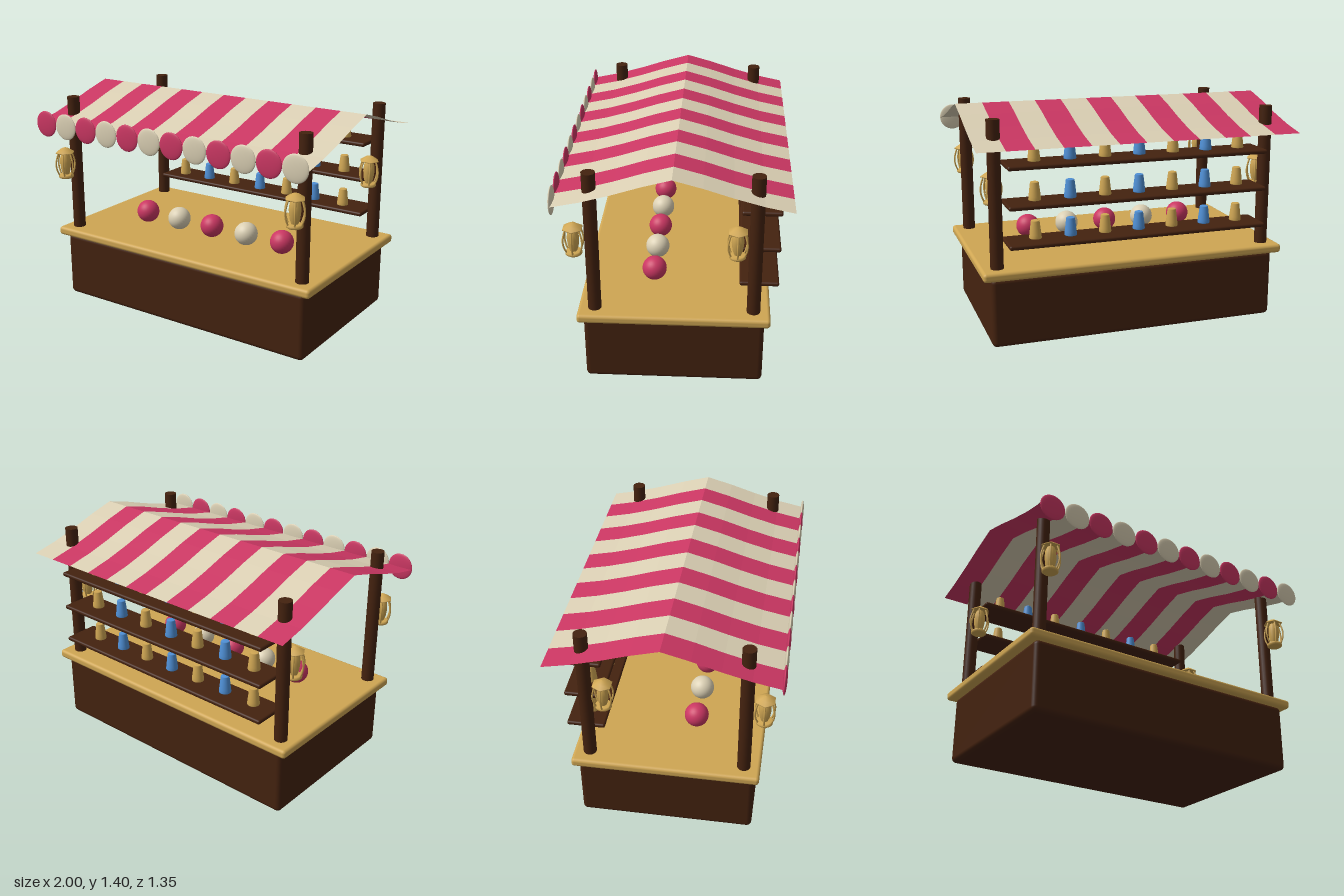
import * as THREE from 'three';
import { RoundedBoxGeometry } from 'three/addons/geometries/RoundedBoxGeometry.js';
import { mergeGeometries } from 'three/addons/utils/BufferGeometryUtils.js';

const MID = -0.008; // z of the ridge and of the stall's centre line

function material(name, color, side = THREE.FrontSide) {
  const m = new THREE.MeshStandardMaterial({ color, side });
  m.name = name;
  return m;
}

export function createModel() {
  const wood = material('dark wood', 0x44220f);
  const gold = material('gold', 0xcfa653);
  const pink = material('pink', 0xcb3763, THREE.DoubleSide);
  const cream = material('cream', 0xdbd0b4, THREE.DoubleSide);
  const blue = material('blue', 0x4f90d6);

  const model = new THREE.Group();
  model.name = 'fairgroundStall';

  function add(name, geometry, mat, x, y, z, parent = model) {
    const mesh = new THREE.Mesh(geometry, mat);
    mesh.name = name;
    mesh.position.set(x, y, z);
    parent.add(mesh);
    return mesh;
  }
  const lathe = (points, segments, start = 0) =>
    new THREE.LatheGeometry(points.map(([r, y]) => new THREE.Vector2(r, y)), segments, start);

  // Base and counter
  add('base', new RoundedBoxGeometry(1.83, 0.43, 1.068, 3, 0.03), wood, 0, 0.218, MID);
  add('counter', new RoundedBoxGeometry(1.93, 0.056, 1.135, 3, 0.02), gold, 0, 0.454, MID);

  // Lantern: glass body, base, hexagonal cap and six bowed ribs
  const body = lathe([[0.02, 0.87], [0.03, 0.9], [0.036, 0.95], [0.032, 0.99], [0.02, 1.02]], 16);
  const foot = lathe([[0, 0.847], [0.042, 0.847], [0.049, 0.853], [0.049, 0.864],
    [0.042, 0.871], [0, 0.871]], 20);
  const cap = lathe([[0, 1.014], [0.062, 1.014], [0.062, 1.019], [0.035, 1.037],
    [0.018, 1.047], [0, 1.051]], 6, Math.PI / 2);
  const ribPath = new THREE.CatmullRomCurve3([[0.043, 0.865], [0.059, 0.905], [0.063, 0.945],
    [0.055, 0.985], [0.043, 1.018]].map(([r, y]) => new THREE.Vector3(r, y, 0)));
  const ribs = [];
  for (let i = 0; i < 6; i++) {
    ribs.push(new THREE.TubeGeometry(ribPath, 12, 0.0055, 6).rotateY(i * Math.PI / 3));
  }
  const cage = mergeGeometries(ribs);

  // Posts, each with a lantern hung in front
  const post = new THREE.CylinderGeometry(0.04, 0.04, 0.91, 20);
  for (const x of [-0.865, 0.865]) {
    for (const z of [MID + 0.468, MID - 0.468]) {
      add('post', post, wood, x, 0.915, z);
      const lantern = new THREE.Group();
      lantern.name = 'lantern';
      lantern.position.set(x, 0, z + 0.104);
      model.add(lantern);
      add('lanternBody', body, gold, 0, 0, 0, lantern);
      add('lanternFoot', foot, gold, 0, 0, 0, lantern);
      add('lanternCap', cap, gold, 0, 0, 0, lantern);
      add('lanternRibs', cage, gold, 0, 0, 0, lantern);
    }
  }

  // Shelves with rows of cups
  const shelf = new RoundedBoxGeometry(1.63, 0.027, 0.232, 3, 0.012);
  const cup = lathe([[0, 0], [0.036, 0], [0.038, 0.004], [0.036, 0.025], [0.026, 0.106],
    [0.023, 0.11], [0, 0.11]], 20);
  for (const y of [0.637, 0.87, 1.104]) {
    add('shelf', shelf, wood, 0, y, -0.506);
    for (let i = 0; i < 7; i++) {
      add('cup', cup, i % 2 ? blue : gold, -0.67 + i * 0.217, y + 0.013, -0.49);
    }
  }

  // Balls on the counter
  const ball = new THREE.SphereGeometry(0.075, 32, 20);
  for (let i = 0; i < 5; i++) {
    add('ball', ball, i % 2 ? cream : pink, (i - 2) * 0.266, 0.555, 0.13);
  }

  // Canopy: twelve thin striped strips that sag from the ridge to the eaves
  const heights = [1.4, 1.354, 1.3, 1.253, 1.218];
  const stripe = new THREE.PlaneGeometry(1 / 6, 1.336, 1, 8).rotateX(-Math.PI / 2);
  const pos = stripe.attributes.position;
  for (let i = 0; i < pos.count; i++) {
    pos.setY(i, heights[Math.round(Math.abs(pos.getZ(i)) / 0.167)]);
  }
  const panel = stripe.toNonIndexed();
  panel.computeVertexNormals();

  // Round scallops along the front eave
  const scallop = new THREE.SphereGeometry(0.0833, 28, 16).scale(1, 1, 0.15);
  for (let i = 0; i < 12; i++) {
    const x = -1 + (i + 0.5) / 6;
    const mat = i % 2 ? cream : pink;
    add('canopyStripe', panel, mat, x, 0, MID);
    add('scallop', scallop, mat, x, 1.22, 0.662);
  }
  return model;
}
